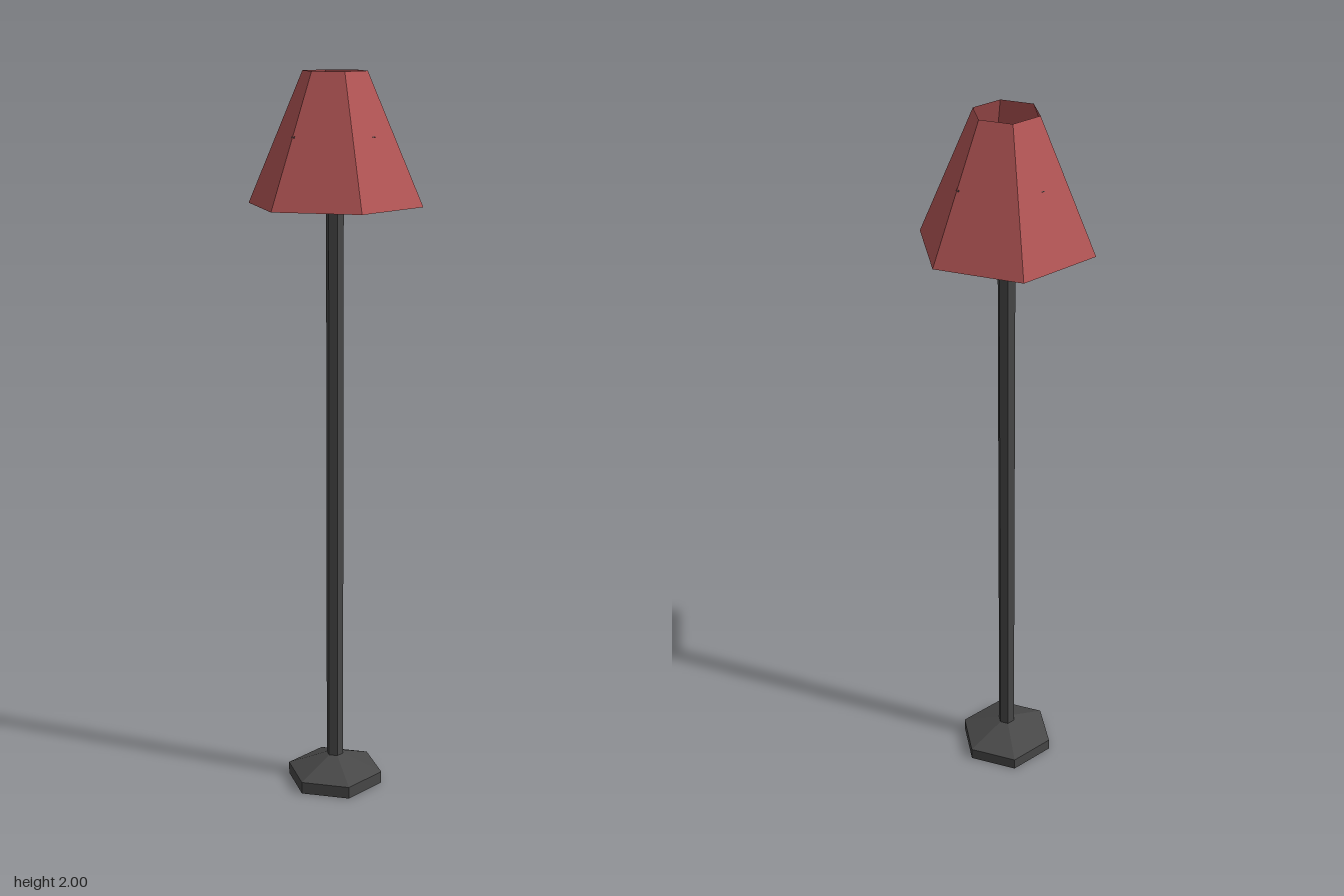
import * as THREE from 'three';

const red = new THREE.MeshStandardMaterial({ color: 0xb45656, side: THREE.DoubleSide, flatShading: true });
red.name = 'shadeRed';
const grey = new THREE.MeshStandardMaterial({ color: 0x484848, flatShading: true });
grey.name = 'metalGrey';

// Six-sided frustum with corners on the x axis
function hexPart(name, rTop, rBottom, y0, y1, material, open = false) {
  const geo = new THREE.CylinderGeometry(rTop, rBottom, y1 - y0, 6, 1, open, Math.PI / 6);
  const mesh = new THREE.Mesh(geo, material);
  mesh.name = name;
  mesh.position.y = (y0 + y1) / 2;
  return mesh;
}

// Thin square bar sloping up from the pole to the shade
function strut(name, angle, reach) {
  const r0 = 0.01, y0 = 1.71, y1 = 1.84;
  const dx = reach - r0, dy = y1 - y0;
  const geo = new THREE.BoxGeometry(Math.hypot(dx, dy), 0.01, 0.01);
  geo.rotateZ(Math.atan2(dy, dx));
  geo.translate((r0 + reach) / 2, (y0 + y1) / 2, 0);
  geo.rotateY(angle);
  const mesh = new THREE.Mesh(geo, grey);
  mesh.name = name;
  return mesh;
}

export function createModel() {
  const lamp = new THREE.Group();
  lamp.name = 'floorLamp';

  // Foot: low plinth with a sloping top
  lamp.add(hexPart('basePlinth', 0.137, 0.137, 0, 0.034, grey));
  lamp.add(hexPart('baseSlope', 0.024, 0.137, 0.034, 0.08, grey));

  lamp.add(hexPart('pole', 0.024, 0.024, 0.06, 1.8, grey));

  // Four struts reach the shade corners on x and its flat sides on z
  ['strutLeft', 'strutBack', 'strutRight', 'strutFront'].forEach((name, i) => {
    lamp.add(strut(name, i * Math.PI / 2, i % 2 ? 0.134 : 0.154));
  });

  // Open shade
  lamp.add(hexPart('shade', 0.087, 0.237, 1.654, 2, red, true));
  return lamp;
}
